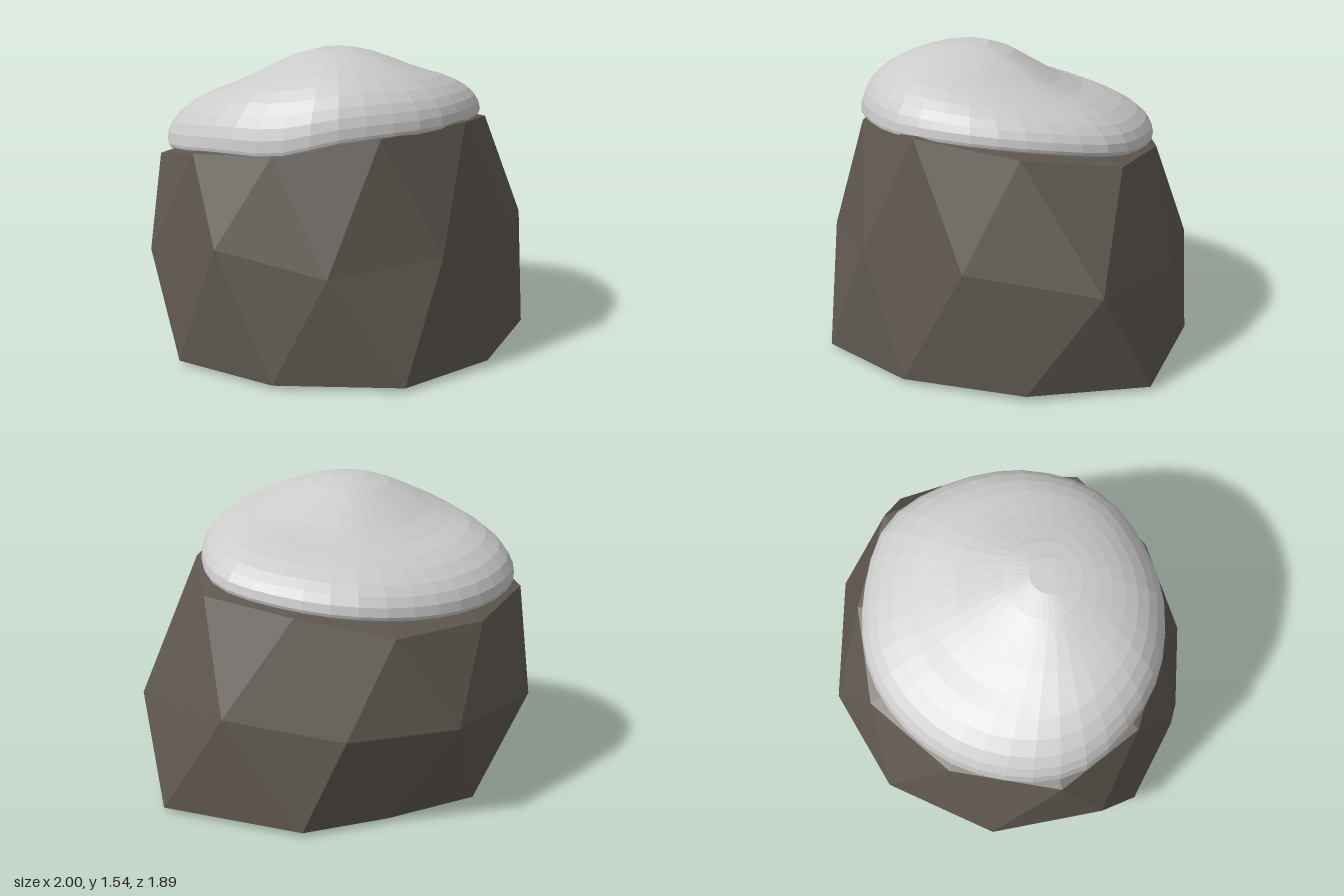
import * as THREE from 'three';

const v = (p) => new THREE.Vector3(p[0], p[1], p[2]);

// Flat-shaded mesh from a list of triangles
function facetMesh(name, tris, color) {
  const geo = new THREE.BufferGeometry().setFromPoints(tris.flat());
  geo.computeVertexNormals();
  const mesh = new THREE.Mesh(geo, new THREE.MeshStandardMaterial({ color, flatShading: true, roughness: 1 }));
  mesh.name = name;
  return mesh;
}

// Boulder: three staggered ten-sided rings, closed with fans
function buildRock() {
  const base = [[0.66, 0.02, 0.6], [0.95, 0.03, 0.03], [0.9, 0.02, -0.59], [0.22, 0.02, -0.92], [-0.2, 0.02, -0.77],
    [-0.65, 0.02, -0.53], [-0.82, 0.02, -0.04], [-0.87, 0.02, 0.45], [-0.43, 0.02, 0.84], [0.2, 0.02, 0.94]].map(v);
  const belly = [[0.4, 0.61, 0.77], [0.82, 0.62, 0.32], [1, 0.54, -0.33], [0.6, 0.54, -0.75], [0.01, 0.49, -0.95],
    [-0.54, 0.5, -0.82], [-0.94, 0.52, -0.38], [-1, 0.53, 0.19], [-0.69, 0.65, 0.66], [-0.17, 0.55, 0.885]].map(v);
  const shoulder = [[0.54, 1.22, 0.52], [0.73, 1.15, 0.03], [0.68, 1.08, -0.47], [0.25, 1.04, -0.73], [-0.23, 0.95, -0.8],
    [-0.68, 0.95, -0.52], [-0.94, 0.98, -0.02], [-0.78, 1.07, 0.42], [-0.41, 1.1, 0.66], [0.1, 1.19, 0.74]].map(v);
  const top = v([-0.05, 1.27, 0]), bottom = v([0.05, 0, 0]);
  const tris = [];
  for (let i = 0; i < 10; i++) {
    const j = (i + 1) % 10;
    tris.push(
      [base[i], belly[j], belly[i]], [base[i], base[j], belly[j]],
      [belly[i], belly[j], shoulder[i]], [belly[j], shoulder[j], shoulder[i]],
      [shoulder[i], shoulder[j], top], [base[j], base[i], bottom],
    );
  }
  return facetMesh('rock', tris, 0x5f5850);
}

// Snow cap: a rim curve lofted up to an off-centre peak, with a tucked-under lip
function buildSnowCap() {
  const rim = new THREE.CatmullRomCurve3([[-0.1, 1.19, 0.74], [0.38, 1.22, 0.62], [0.64, 1.22, 0.28], [0.7, 1.18, -0.15],
    [0.6, 1.13, -0.48], [0.25, 1.08, -0.7], [-0.1, 1.05, -0.765], [-0.42, 1.03, -0.68], [-0.7, 1.03, -0.47],
    [-0.88, 1.05, -0.15], [-0.89, 1.06, 0.14], [-0.66, 1.11, 0.51], [-0.4, 1.12, 0.68]].map(v), true);
  const n = 36;
  const edge = rim.getSpacedPoints(n).slice(0, n);
  const peak = v([-0.05, 1.54, 0.2]);
  // Point at fraction t from peak to rim; the back slope is hollowed
  const domePoint = (e, t) => {
    const p = peak.clone().lerp(e, t);
    const dx = e.x - peak.x, dz = e.z - peak.z;
    const hollow = 0.18 * (1 - dz / Math.hypot(dx, dz));
    const height = Math.sqrt(Math.max(0, 1 - t * t)) * (1 - hollow * THREE.MathUtils.smoothstep(t, 0.1, 0.65));
    p.y = e.y + (peak.y - e.y) * height;
    return p;
  };
  const lipPoint = ([scale, drop]) => edge.map((e) => {
    const p = peak.clone().lerp(e, scale);
    p.y = e.y - drop;
    return p;
  });
  const rings = [0.12, 0.25, 0.38, 0.5, 0.62, 0.73, 0.83, 0.91, 0.96, 0.99, 1].map((t) => edge.map((e) => domePoint(e, t)));
  rings.push(...[[0.995, 0.015], [0.975, 0.025], [0.85, 0.02]].map(lipPoint));
  const under = v([-0.05, 1.1, 0]);
  const tris = [];
  for (let i = 0; i < n; i++) {
    const j = (i + 1) % n;
    tris.push([peak, rings[0][i], rings[0][j]]);
    for (let k = 0; k + 1 < rings.length; k++) {
      const a = rings[k], b = rings[k + 1];
      tris.push([a[i], b[i], b[j]], [a[i], b[j], a[j]]);
    }
    const last = rings[rings.length - 1];
    tris.push([last[i], under, last[j]]);
  }
  return facetMesh('snowCap', tris, 0xcccccc);
}

export function createModel() {
  const model = new THREE.Group();
  model.name = 'snowyRock';
  model.add(buildRock(), buildSnowCap());
  return model;
}
